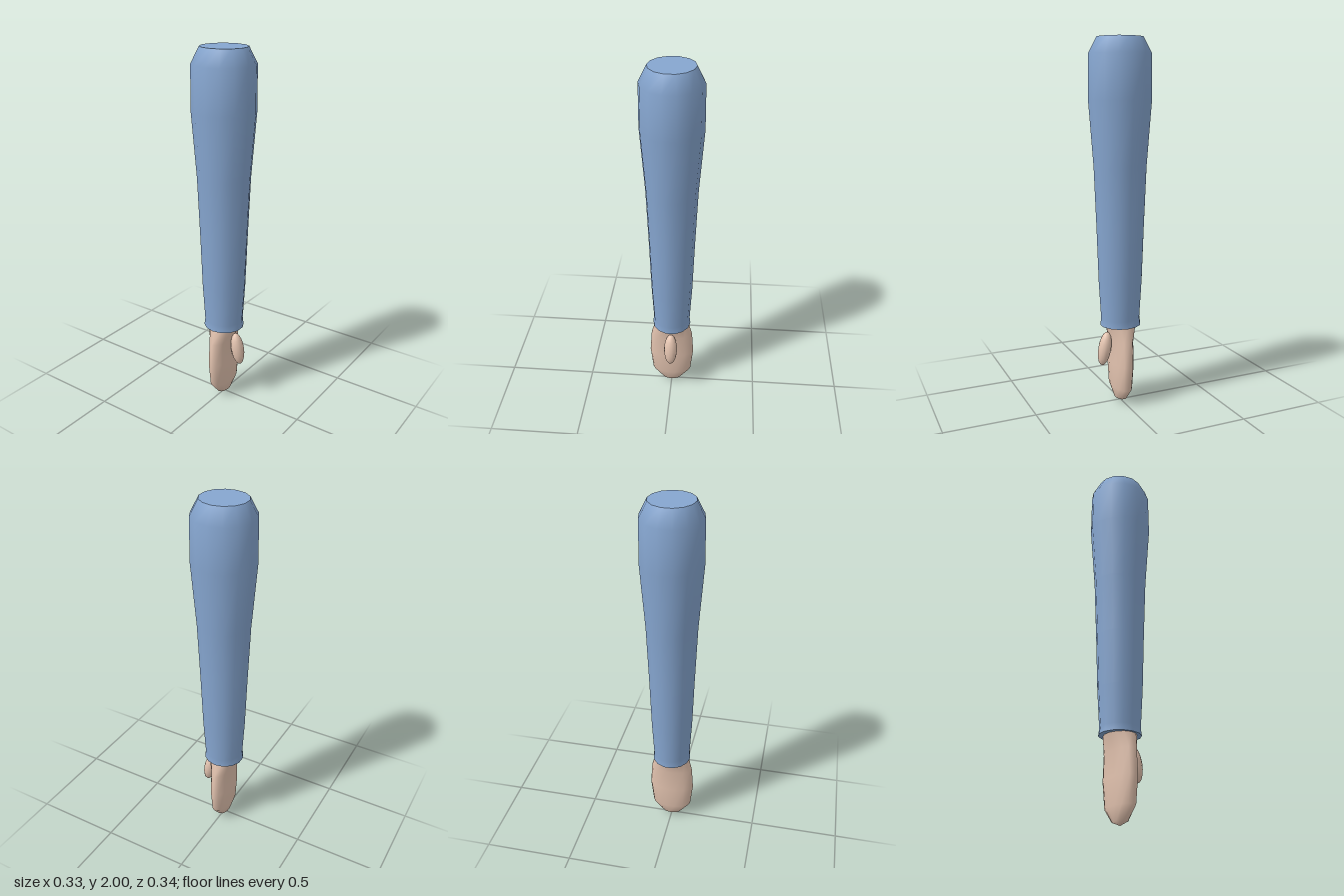
import * as THREE from 'three';

// Smooth skin through elliptical rings [y, radiusX, radiusZ], listed bottom to top
function loft(rings, sides) {
  const positions = [], index = [];
  rings.forEach(([y, rx, rz], j) => {
    for (let i = 0; i < sides; i++) {
      const a = (i / sides) * Math.PI * 2;
      positions.push(rx * Math.cos(a), y, rz * Math.sin(a));
      if (j === rings.length - 1) continue;
      const p = j * sides + i, q = j * sides + (i + 1) % sides;
      index.push(p, p + sides, q, q, p + sides, q + sides);
    }
  });
  const g = new THREE.BufferGeometry();
  g.setAttribute('position', new THREE.Float32BufferAttribute(positions, 3));
  g.setIndex(index);
  g.computeVertexNormals();
  return g;
}

// Flat end disc facing up (dir 1) or down (dir -1)
function disc([y, rx, rz], sides, dir) {
  return new THREE.CircleGeometry(1, sides).rotateX(-dir * Math.PI / 2).scale(rx, 1, rz).translate(0, y, 0);
}

export function createModel() {
  const model = new THREE.Group();
  model.name = 'arm';
  const fabric = new THREE.MeshStandardMaterial({ color: 0x86a6d0 });
  fabric.name = 'blue fabric';
  const skin = new THREE.MeshStandardMaterial({ color: 0xe4c4b0 });
  skin.name = 'skin';
  const add = (name, geometry, material) => {
    const mesh = new THREE.Mesh(geometry, material);
    mesh.name = name;
    model.add(mesh);
    return mesh;
  };

  // Sleeve: tapered tube with a rounded shoulder and slightly flared cuff
  const sleeve = [
    [0.45, 0.109], [0.49, 0.104], [0.7, 0.116], [1.0, 0.126],
    [1.33, 0.139], [1.68, 0.165], [1.915, 0.163], [2, 0.12],
  ].map(([y, r]) => [y, r, r * 1.045]);
  add('sleeve', loft(sleeve, 14), fabric);
  add('shoulderCap', disc(sleeve[sleeve.length - 1], 14, 1), fabric);
  add('cuffCap', disc(sleeve[0], 14, -1), fabric);

  // Hand: flat mitten that turns round at the wrist
  const hand = [
    [0.005, 0.012, 0.008], [0.02, 0.055, 0.032], [0.09, 0.113, 0.052], [0.23, 0.129, 0.058],
    [0.365, 0.12, 0.057], [0.45, 0.096, 0.083], [0.48, 0.088, 0.088],
  ];
  add('hand', loft(hand, 14), skin);
  add('fingertip', new THREE.ConeGeometry(1, 0.005, 14, 1, true)
    .rotateX(Math.PI).rotateY(Math.PI / 2).scale(0.012, 1, 0.008).translate(0, 0.0025, 0), skin);

  // Thumb: tilted ellipsoid on the front of the hand
  const thumb = add('thumb', new THREE.SphereGeometry(1, 14, 10).scale(0.038, 0.096, 0.036), skin);
  thumb.position.set(0, 0.317, 0.095);
  thumb.rotation.x = -0.18;

  return model;
}
